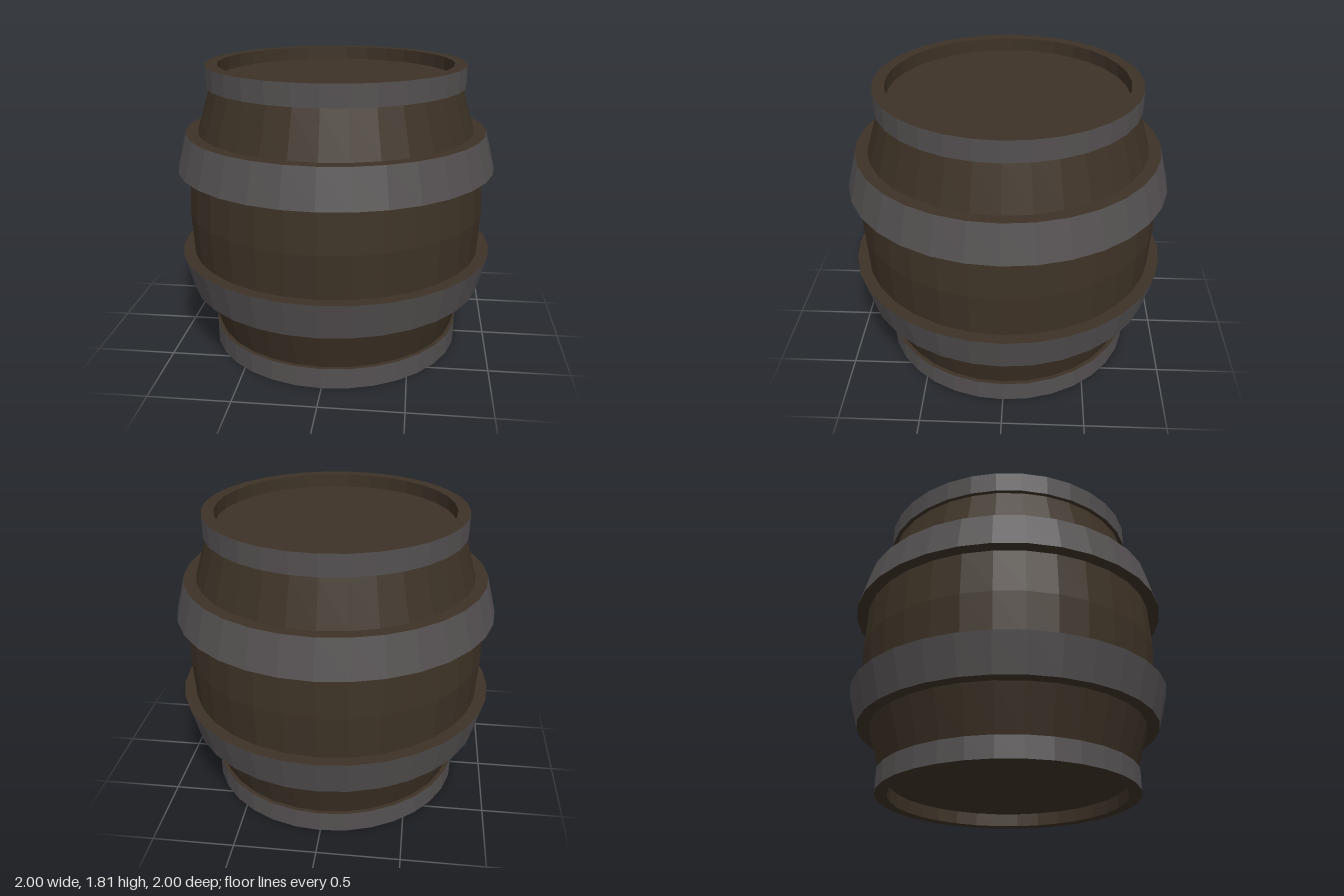
import * as THREE from 'three';

const SIDES = 32;
const H = 1.814; // overall height

export function createModel() {
  const wood = new THREE.MeshStandardMaterial({ color: 0x3d3226, flatShading: true });
  wood.name = 'dark wood';
  const iron = new THREE.MeshStandardMaterial({ color: 0x545051, flatShading: true });
  iron.name = 'grey iron';

  const barrel = new THREE.Group();
  barrel.name = 'barrel';

  // Revolves a [radius, y] profile; listed upwards it faces outwards
  const turn = (name, profile, material, parent = barrel) => {
    const points = profile.map(([r, y]) => new THREE.Vector2(r, y));
    const mesh = new THREE.Mesh(new THREE.LatheGeometry(points, SIDES), material);
    mesh.name = name;
    parent.add(mesh);
  };

  // Bulging staves
  turn('staves', [
    [0.78, 0.13], [0.865, 0.41], [0.925, 0.638], [0.94, H / 2],
    [0.925, H - 0.638], [0.865, H - 0.41], [0.78, H - 0.13],
  ], wood);

  // Hoop: iron outer band with wooden edges; r = outer radii, i = inner radii
  const hoop = (name, y0, y1, r0, r1, i0, i1) => {
    const group = new THREE.Group();
    group.name = name;
    turn('band', [[r0, y0], [r1, y1]], iron, group);
    turn('lowerEdge', [[i0, y0], [r0, y0]], wood, group);
    turn('upperEdge', [[r1, y1], [i1, y1]], wood, group);
    barrel.add(group);
  };
  hoop('bottomHoop', 0, 0.13, 0.805, 0.805, 0.73, 0.78);
  hoop('lowerHoop', 0.408, 0.638, 0.94, 1, 0.865, 0.925);
  hoop('upperHoop', H - 0.638, H - 0.408, 1, 0.94, 0.925, 0.865);
  hoop('topHoop', H - 0.13, H, 0.805, 0.805, 0.78, 0.73);

  // Recessed heads with their inner walls
  const depth = 0.083;
  turn('bottomInnerWall', [[0.73, depth], [0.73, 0]], wood);
  turn('topInnerWall', [[0.73, H], [0.73, H - depth]], wood);
  for (const [name, y, tilt] of [['topHead', H - depth, -1], ['bottomHead', depth, 1]]) {
    const head = new THREE.Mesh(new THREE.CircleGeometry(0.73, SIDES), wood);
    head.name = name;
    head.rotation.x = tilt * Math.PI / 2;
    head.position.y = y;
    barrel.add(head);
  }

  return barrel;
}
